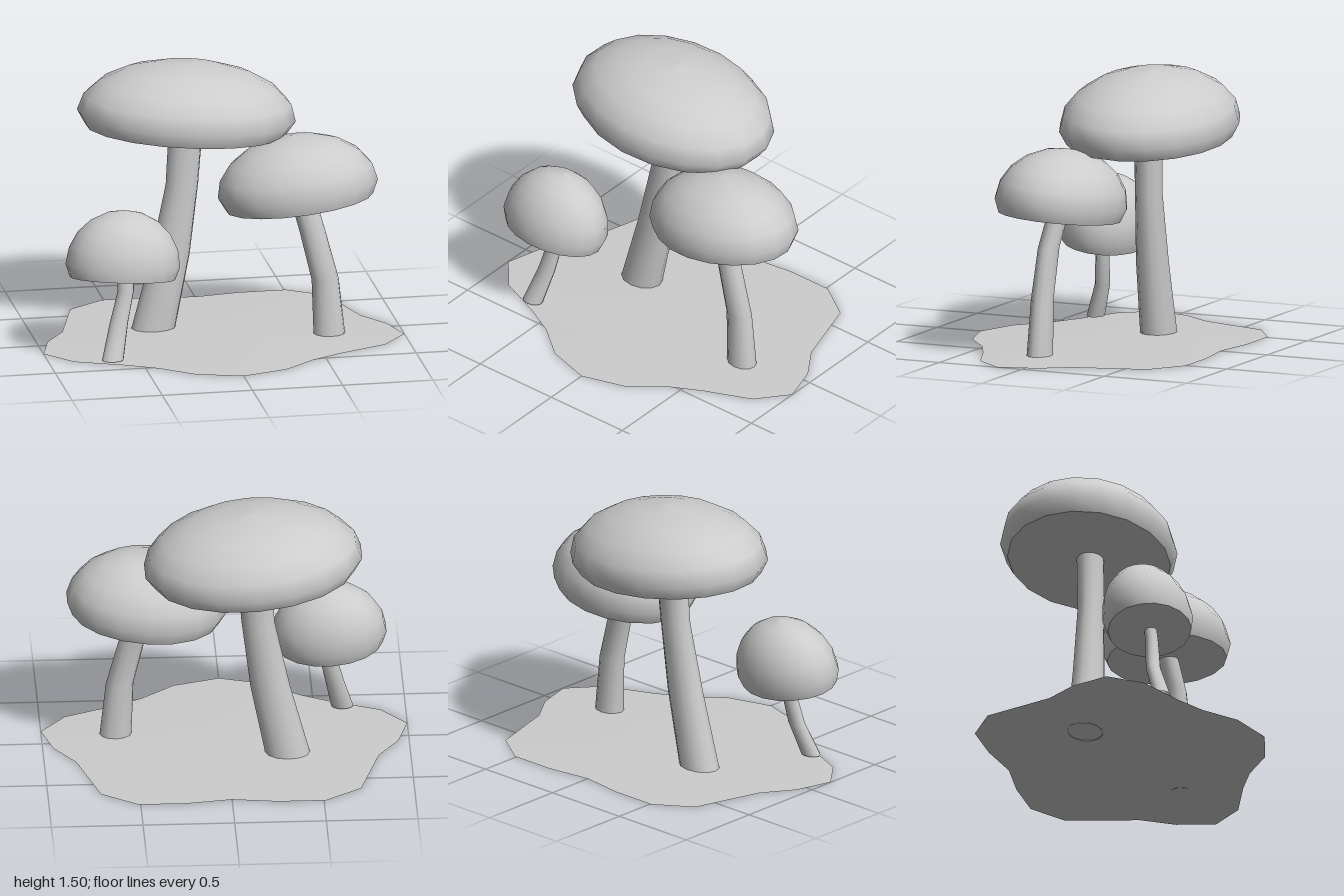
import * as THREE from 'three';

const grey = new THREE.MeshStandardMaterial({ color: 0xcccccc, side: THREE.DoubleSide });
grey.name = 'plain grey';

const SQUASH = 0.78; // stems and caps are narrower front to back

function mesh(name, geometry) {
  const m = new THREE.Mesh(geometry, grey);
  m.name = name;
  return m;
}

// Bent tube of elliptical rings, each ring given as [x, y, z, radius]
function makeStem(rings, sides = 12) {
  const pos = [], idx = [];
  rings.forEach(([x, y, z, r], i) => {
    for (let s = 0; s < sides; s++) {
      const a = (s / sides) * Math.PI * 2;
      pos.push(x + r * Math.cos(a), y, z + r * SQUASH * Math.sin(a));
      if (i === 0) continue;
      const n = (s + 1) % sides, lo = (i - 1) * sides, hi = i * sides;
      idx.push(lo + s, hi + s, lo + n, lo + n, hi + s, hi + n);
    }
  });
  const g = new THREE.BufferGeometry();
  g.setAttribute('position', new THREE.Float32BufferAttribute(pos, 3));
  g.setIndex(idx);
  g.computeVertexNormals();
  return mesh('stem', g);
}

// Tilted dome with a tucked-in rim and a flat underside
function makeCap({ at, rx, rz, height, lip, rim, slopeX, slopeZ }) {
  const cap = new THREE.Group();
  cap.name = 'cap';
  const profile = [new THREE.Vector2(rim, -lip)];
  for (let i = 0; i <= 5; i++) {
    const a = (i / 5) * Math.PI / 2;
    profile.push(new THREE.Vector2(i === 5 ? 0 : Math.cos(a), height * Math.sin(a)));
  }
  const under = [new THREE.Vector2(0, -lip), new THREE.Vector2(rim, -lip)];
  cap.add(
    mesh('capDome', new THREE.LatheGeometry(profile, 18).scale(rx, 1, rz)),
    mesh('capUnderside', new THREE.LatheGeometry(under, 18).scale(rx, 1, rz))
  );
  cap.position.set(...at);
  cap.rotation.set(-Math.atan(slopeZ), 0, Math.atan(slopeX));
  return cap;
}

// Shallow mound with a wavy, mirrored outline
function makeGround() {
  const half = [
    [0, 0.74], [0.25, 0.665], [0.43, 0.52], [0.6, 0.43], [0.86, 0.32], [1, 0.15],
    [0.94, -0.06], [0.825, -0.23], [0.71, -0.62], [0.51, -0.755], [0.25, -0.755], [0, -0.72],
  ];
  const outline = [...half, ...half.slice(1, -1).reverse().map(([x, z]) => [-x, z])];
  const n = outline.length;
  const pos = [0, 0.018, 0], idx = [];
  for (const [k, y] of [[0.5, 0.013], [1, 0]]) {
    for (const [x, z] of outline) pos.push(x * k, y, z * k);
  }
  for (let i = 0; i < n; i++) {
    const a = 1 + i, b = 1 + (i + 1) % n;
    idx.push(0, a, b, a, a + n, b, b, a + n, b + n);
  }
  const g = new THREE.BufferGeometry();
  g.setAttribute('position', new THREE.Float32BufferAttribute(pos, 3));
  g.setIndex(idx);
  g.computeVertexNormals();
  return mesh('ground', g);
}

const mushrooms = [
  {
    name: 'largeMushroom',
    stem: [[-0.33, 0.01, -0.182, 0.122], [-0.235, 0.42, -0.19, 0.108],
      [-0.168, 0.82, -0.2, 0.09], [-0.143, 1.17, -0.21, 0.095]],
    cap: { at: [-0.14, 1.2, -0.22], rx: 0.602, rz: 0.47, height: 0.3, lip: 0.075, rim: 0.92, slopeX: -0.08, slopeZ: 0.04 },
  },
  {
    name: 'mediumMushroom',
    stem: [[0.595, 0.01, 0.0875, 0.087], [0.573, 0.32, 0.083, 0.075],
      [0.505, 0.59, 0.078, 0.071], [0.443, 0.83, 0.035, 0.07]],
    cap: { at: [0.43, 0.83, 0.04], rx: 0.442, rz: 0.348, height: 0.3, lip: 0.075, rim: 0.92, slopeX: 0.1, slopeZ: 0.07 },
  },
  {
    name: 'smallMushroom',
    stem: [[-0.655, 0.012, 0.358, 0.06], [-0.61, 0.2, 0.295, 0.051],
      [-0.567, 0.38, 0.275, 0.045], [-0.57, 0.5, 0.262, 0.044]],
    cap: { at: [-0.58, 0.515, 0.255], rx: 0.315, rz: 0.242, height: 0.305, lip: 0.07, rim: 0.92, slopeX: -0.07, slopeZ: 0.17 },
  },
];

export function createModel() {
  const model = new THREE.Group();
  model.name = 'mushroomCluster';
  model.add(makeGround());
  for (const { name, stem, cap } of mushrooms) {
    const g = new THREE.Group();
    g.name = name;
    g.add(makeStem(stem), makeCap(cap));
    model.add(g);
  }
  return model;
}
